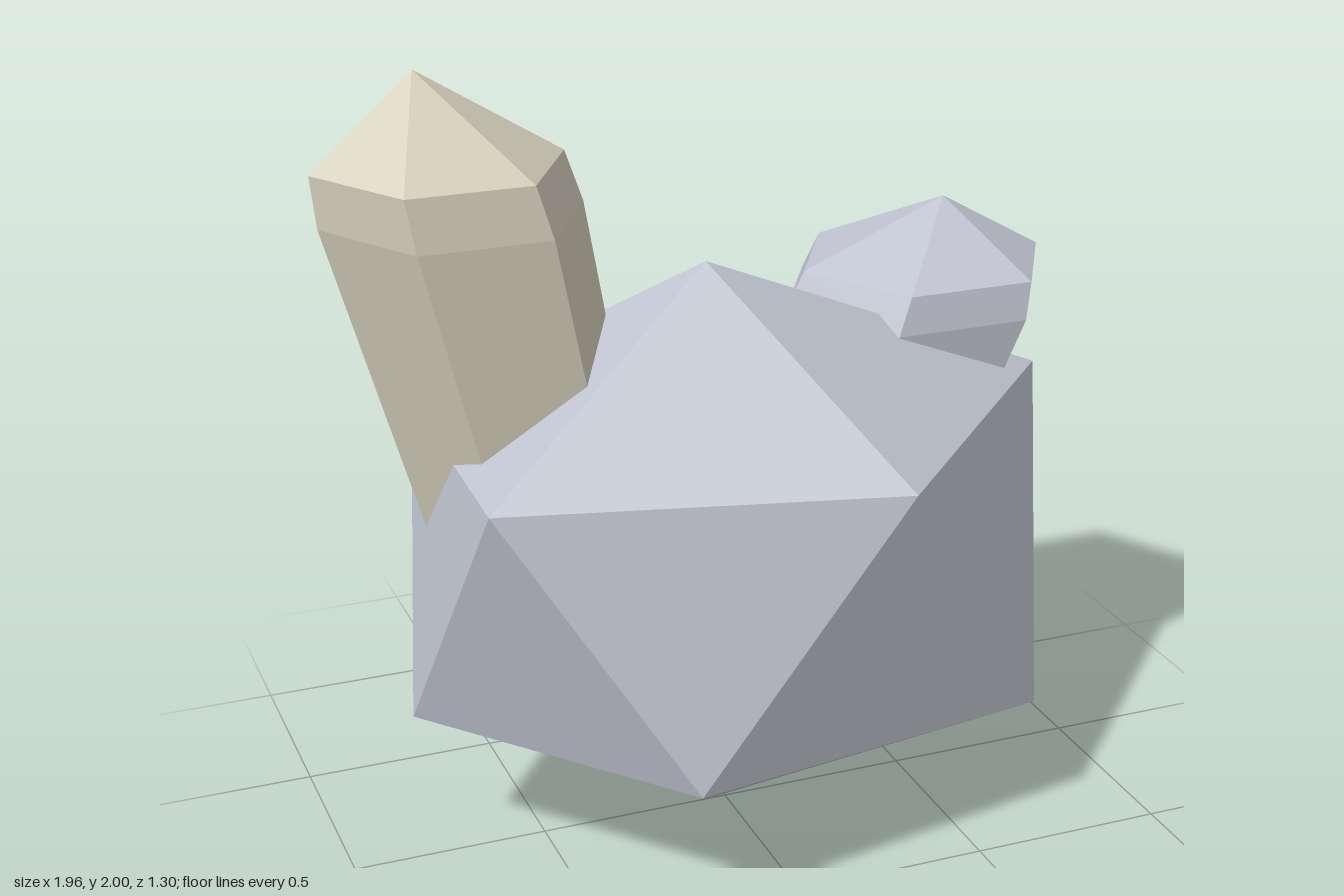
import * as THREE from 'three';

const rockGrey = new THREE.MeshStandardMaterial({ color: 0xc0c4d0 });
rockGrey.name = 'rock grey';
const paleSand = new THREE.MeshStandardMaterial({ color: 0xd6d0bd });
paleSand.name = 'pale sand';

// Flat-faced solid: top point, rings of corners from top to bottom, bottom point.
function facetedSolid(name, top, rings, bottom, material) {
  const pos = [];
  const tri = (a, b, c) => pos.push(...a, ...b, ...c);
  const n = rings[0].length;
  for (let i = 0; i < n; i++) {
    const j = (i + 1) % n;
    tri(top, rings[0][j], rings[0][i]);
    for (let r = 0; r < rings.length - 1; r++) {
      const a = rings[r], b = rings[r + 1];
      tri(a[i], a[j], b[i]);
      tri(a[j], b[j], b[i]);
    }
    const last = rings[rings.length - 1];
    tri(bottom, last[i], last[j]);
  }
  const geometry = new THREE.BufferGeometry();
  geometry.setAttribute('position', new THREE.Float32BufferAttribute(pos, 3));
  geometry.computeVertexNormals();
  const mesh = new THREE.Mesh(geometry, material);
  mesh.name = name;
  return mesh;
}

// Level hexagon with corners pointing along x.
function hexagon(x, y, z, radius) {
  return Array.from({ length: 6 }, (_, i) => {
    const t = (i * Math.PI) / 3;
    return [x + radius * Math.cos(t), y, z + radius * Math.sin(t)];
  });
}

// Leaning six-sided crystal; sections are [x, y, radius] from top to bottom.
function crystal(name, tip, sections, material) {
  const z = tip[2];
  const rings = sections.map(([x, y, r]) => hexagon(x, y, z, r));
  const [bx, by] = sections[sections.length - 1];
  return facetedSolid(name, tip, rings, [bx, by, z], material);
}

export function createModel() {
  const group = new THREE.Group();
  group.name = 'crystalRock';

  // Uneven twenty-sided boulder
  const upper = [
    [0.86, 1.11, 0], [0.22, 1.09, 0.65], [-0.73, 1.085, 0.4],
    [-0.7, 1.08, -0.38], [0.2, 1.07, -0.61],
  ];
  const lower = [
    [0.68, 0.355, 0.42], [-0.3, 0.39, 0.62], [-0.83, 0.4, 0],
    [-0.32, 0.37, -0.65], [0.68, 0.37, -0.4],
  ];
  group.add(facetedSolid('boulder', [-0.05, 1.49, 0], [upper, lower], [-0.05, 0, 0], rockGrey));

  // Tall crystal leaning to one side
  group.add(crystal('tallCrystal', [-0.73, 2, -0.1],
    [[-0.677, 1.775, 0.307], [-0.648, 1.645, 0.323], [-0.44, 0.735, 0.273]], paleSand));

  // Short crystal leaning to the other side
  group.add(crystal('shortCrystal', [0.7, 1.51, -0.23],
    [[0.645, 1.35, 0.335], [0.615, 1.255, 0.355], [0.375, 0.6, 0.3]], rockGrey));

  return group;
}
